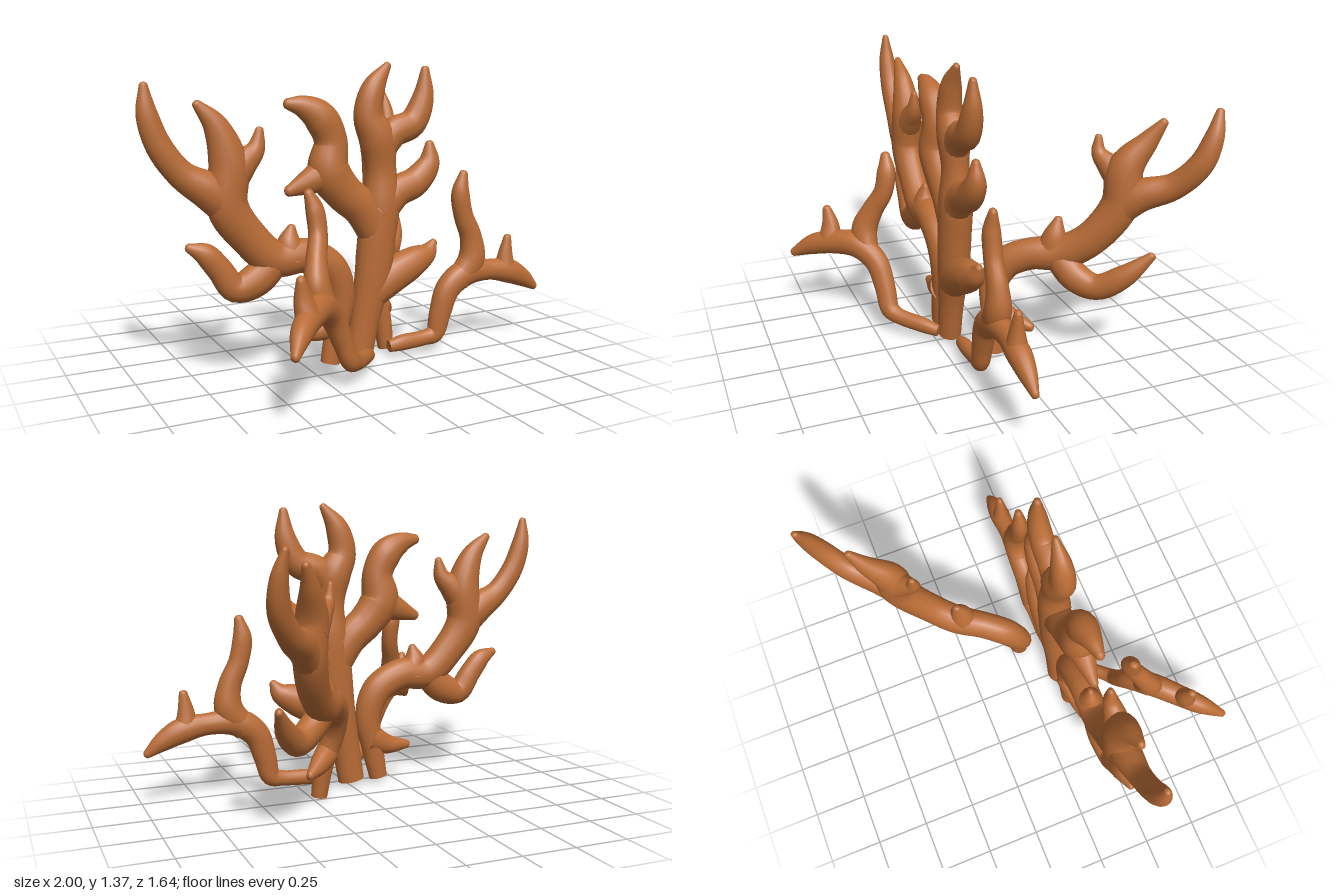
import * as THREE from 'three';

const SIDES = 16;
const FLAT = 0.85; // each colony is slightly thinner across its fan plane

// Tapered limb through points [x, y, z, radius]; n is the normal of the fan plane.
function limbGeometry(points, n) {
  const path = new THREE.CatmullRomCurve3(points.map((p) => new THREE.Vector3(p[0], p[1], p[2])));
  const radii = new THREE.CatmullRomCurve3(points.map((p) => new THREE.Vector3(p[3], 0, 0)), false, 'catmullrom', 0.5);
  const steps = (points.length - 1) * 6;
  const rings = [];
  for (let i = 0; i <= steps; i++) {
    const t = i / steps;
    rings.push({ c: path.getPoint(t), d: path.getTangent(t), r: radii.getPoint(t).x });
  }
  // flat cut at the root, rounded tip at the end
  const root = rings[0];
  rings.unshift({ ...root, r: 0 }, { ...root });
  const end = rings[rings.length - 1];
  for (const a of [0.5, 1.0, Math.PI / 2]) {
    const c = end.c.clone().addScaledVector(end.d, end.r * 0.8 * Math.sin(a));
    rings.push({ c, d: end.d, r: end.r * Math.cos(a) });
  }
  const pos = [], index = [];
  rings.forEach(({ c, d, r }, i) => {
    const side = new THREE.Vector3().crossVectors(n, d).normalize();
    const across = new THREE.Vector3().crossVectors(d, side).normalize();
    for (let j = 0; j < SIDES; j++) {
      const a = (j / SIDES) * Math.PI * 2;
      const p = c.clone().addScaledVector(side, r * Math.cos(a)).addScaledVector(across, r * FLAT * Math.sin(a));
      pos.push(p.x, p.y, p.z);
      if (i < rings.length - 1) {
        const k = (j + 1) % SIDES, b = i * SIDES, e = b + SIDES;
        index.push(b + j, b + k, e + j, b + k, e + k, e + j);
      }
    }
  });
  const g = new THREE.BufferGeometry();
  g.setAttribute('position', new THREE.Float32BufferAttribute(pos, 3));
  g.setIndex(index);
  g.computeVertexNormals();
  return g;
}

// Points given as [x, y, radius] in the main fan plane
const Z = 0.18;
const flat = (pts) => pts.map(([x, y, r]) => [x, y, Z, r]);

export function createModel() {
  const model = new THREE.Group();
  const coral = new THREE.MeshStandardMaterial({ color: 0xb96c36 });
  coral.name = 'coralOrange';

  function colony(name, normal, limbs) {
    const group = new THREE.Group();
    group.name = name;
    const n = new THREE.Vector3(...normal).normalize();
    for (const [limb, pts] of Object.entries(limbs)) {
      const mesh = new THREE.Mesh(limbGeometry(pts, n), coral);
      mesh.name = limb;
      group.add(mesh);
    }
    model.add(group);
  }

  // Tall middle colony
  colony('centreColony', [0, 0, 1], {
    trunk: flat([[-0.01, 0.03, 0.065], [0.02, 0.2, 0.07], [0.06, 0.4, 0.085], [0.08, 0.58, 0.09], [0.1, 0.75, 0.09],
      [0.1, 0.9, 0.072], [0.08, 1.04, 0.085], [0.035, 1.14, 0.068], [0.06, 1.26, 0.055], [0.13, 1.36, 0.018]]),
    topRightProng: flat([[0.09, 0.98, 0.07], [0.16, 1.06, 0.07], [0.26, 1.1, 0.066], [0.315, 1.21, 0.052], [0.325, 1.34, 0.02]]),
    leftBranch: flat([[0.08, 0.6, 0.08], [0.0, 0.73, 0.085], [-0.09, 0.81, 0.088], [-0.16, 0.91, 0.095],
      [-0.15, 1.04, 0.075], [-0.2, 1.14, 0.075], [-0.28, 1.19, 0.05], [-0.35, 1.205, 0.025]]),
    leftSpur: flat([[-0.13, 0.92, 0.085], [-0.23, 0.875, 0.065], [-0.35, 0.83, 0.025]]),
    rightBranch: flat([[0.08, 0.7, 0.09], [0.18, 0.79, 0.075], [0.28, 0.83, 0.07], [0.35, 0.91, 0.055], [0.355, 1.0, 0.022]]),
    lowBranch: flat([[0.05, 0.33, 0.08], [0.16, 0.4, 0.085], [0.27, 0.45, 0.075], [0.35, 0.49, 0.05], [0.385, 0.535, 0.02]]),
  });

  // Tall fan on the right-hand side
  colony('tallSideColony', [0, 0, 1], {
    trunk: flat([[-0.155, 0.03, 0.045], [-0.125, 0.18, 0.055], [-0.1, 0.34, 0.065], [-0.15, 0.47, 0.075], [-0.28, 0.54, 0.078],
      [-0.42, 0.54, 0.08], [-0.54, 0.65, 0.082], [-0.63, 0.79, 0.09], [-0.62, 0.96, 0.085], [-0.67, 1.12, 0.055], [-0.75, 1.215, 0.02]]),
    longProng: flat([[-0.6, 0.75, 0.075], [-0.7, 0.85, 0.08], [-0.82, 0.93, 0.06], [-0.91, 1.05, 0.055], [-0.955, 1.18, 0.045], [-0.965, 1.295, 0.018]]),
    shortProng: flat([[-0.63, 0.88, 0.08], [-0.56, 0.96, 0.065], [-0.5, 1.02, 0.042], [-0.48, 1.1, 0.018]]),
    lowBranch: flat([[-0.4, 0.56, 0.07], [-0.5, 0.46, 0.075], [-0.6, 0.43, 0.062], [-0.67, 0.52, 0.055], [-0.73, 0.59, 0.048], [-0.8, 0.625, 0.02]]),
    bump: flat([[-0.34, 0.53, 0.08], [-0.35, 0.61, 0.055], [-0.34, 0.67, 0.02]]),
    rootSpur: flat([[-0.11, 0.23, 0.07], [-0.2, 0.19, 0.05], [-0.31, 0.18, 0.022]]),
  });

  // Tall fan reaching diagonally backwards
  colony('backColony', [0.85, 0, 0.53], {
    trunk: [[0.21, 0.01, 0.04, 0.045], [0.19, 0.16, 0.03, 0.055], [0.145, 0.32, 0.015, 0.065], [0.16, 0.43, -0.04, 0.075],
      [0.22, 0.485, -0.14, 0.075], [0.29, 0.5, -0.25, 0.08], [0.37, 0.58, -0.36, 0.08], [0.43, 0.75, -0.47, 0.085],
      [0.43, 0.92, -0.49, 0.08], [0.465, 1.04, -0.57, 0.048], [0.5, 1.13, -0.625, 0.02]],
    longProng: [[0.41, 0.7, -0.44, 0.075], [0.48, 0.8, -0.53, 0.075], [0.57, 0.86, -0.65, 0.06], [0.64, 0.97, -0.73, 0.055],
      [0.655, 1.09, -0.775, 0.042], [0.64, 1.195, -0.805, 0.018]],
    shortProng: [[0.43, 0.85, -0.49, 0.08], [0.37, 0.92, -0.44, 0.055], [0.33, 0.97, -0.41, 0.035], [0.32, 1.04, -0.41, 0.016]],
    lowBranch: [[0.28, 0.5, -0.24, 0.07], [0.37, 0.41, -0.29, 0.07], [0.45, 0.38, -0.36, 0.06], [0.53, 0.45, -0.45, 0.052], [0.59, 0.555, -0.55, 0.02]],
    bump: [[0.27, 0.5, -0.22, 0.075], [0.28, 0.59, -0.23, 0.052], [0.28, 0.66, -0.245, 0.02]],
    rootSpur: [[0.17, 0.22, 0.03, 0.065], [0.24, 0.18, -0.04, 0.05], [0.305, 0.155, -0.105, 0.022]],
  });

  // Low colony on the left-hand side
  colony('lowSideColony', [0, 0, 1], {
    trunk: flat([[0.15, 0.06, 0.028], [0.22, 0.068, 0.038], [0.34, 0.075, 0.037], [0.4, 0.09, 0.046], [0.43, 0.19, 0.055],
      [0.47, 0.3, 0.062], [0.56, 0.365, 0.065], [0.7, 0.37, 0.052], [0.82, 0.35, 0.06], [0.91, 0.305, 0.045], [0.98, 0.255, 0.02]]),
    tallProng: flat([[0.52, 0.33, 0.06], [0.6, 0.43, 0.068], [0.595, 0.54, 0.055], [0.55, 0.65, 0.048], [0.53, 0.76, 0.045], [0.545, 0.85, 0.022]]),
    shortProng: flat([[0.8, 0.35, 0.06], [0.8, 0.43, 0.04], [0.81, 0.52, 0.02]]),
  });

  // Low colony reaching diagonally forwards
  colony('frontColony', [0.69, 0, 0.72], {
    trunk: [[0.015, 0.06, 0.245, 0.028], [-0.04, 0.075, 0.3, 0.038], [-0.13, 0.095, 0.39, 0.04], [-0.175, 0.12, 0.425, 0.048],
      [-0.22, 0.22, 0.435, 0.053], [-0.28, 0.34, 0.46, 0.06], [-0.36, 0.405, 0.53, 0.065], [-0.45, 0.4, 0.62, 0.06],
      [-0.53, 0.37, 0.71, 0.052], [-0.595, 0.315, 0.8, 0.022]],
    tallProng: [[-0.32, 0.37, 0.49, 0.06], [-0.36, 0.48, 0.49, 0.065], [-0.345, 0.58, 0.45, 0.053], [-0.315, 0.68, 0.4, 0.047],
      [-0.32, 0.78, 0.38, 0.045], [-0.345, 0.85, 0.375, 0.024]],
    shortProng: [[-0.47, 0.4, 0.64, 0.06], [-0.485, 0.48, 0.63, 0.045], [-0.5, 0.56, 0.64, 0.022]],
  });

  return model;
}
